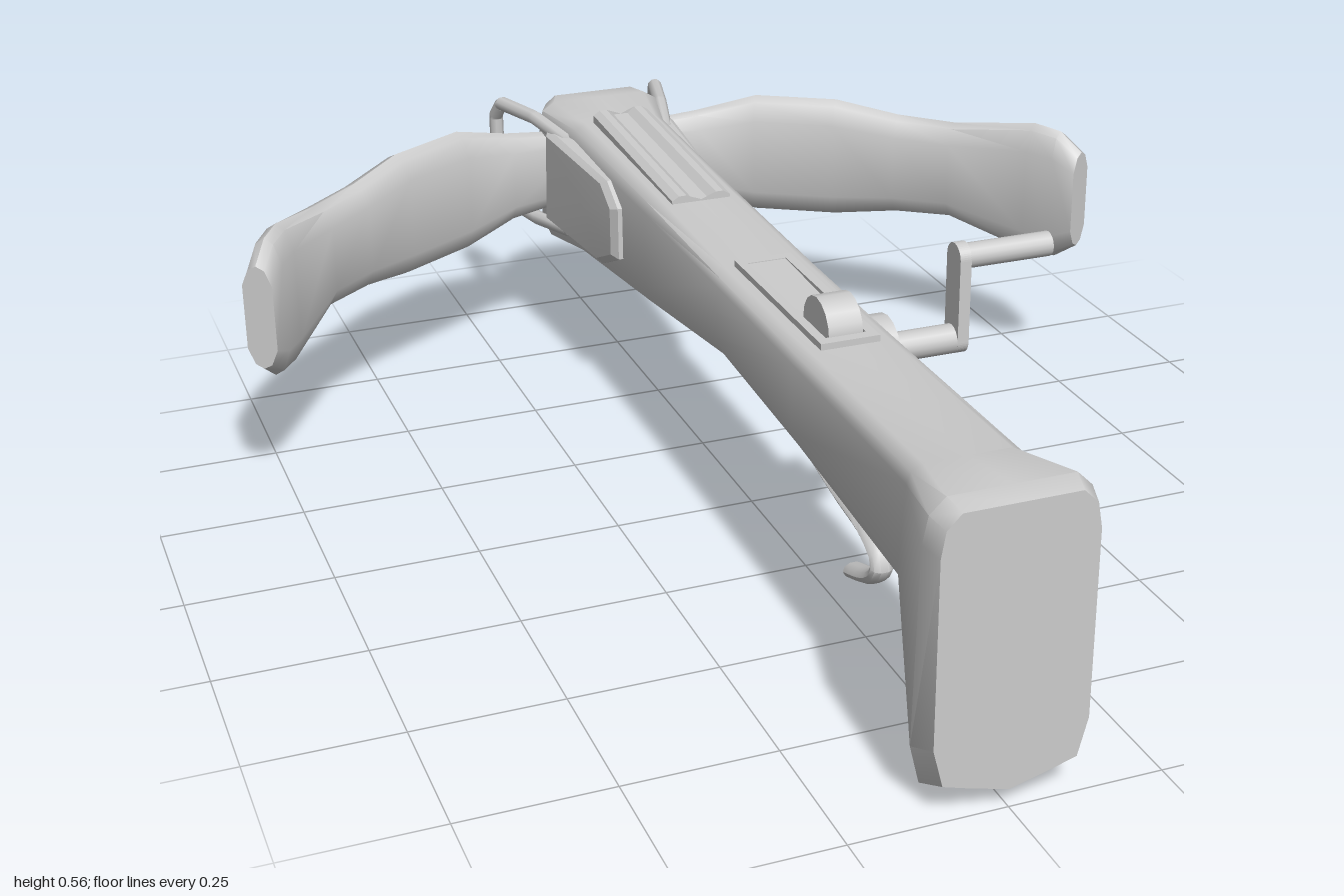
import * as THREE from 'three';
import { toCreasedNormals } from 'three/addons/utils/BufferGeometryUtils.js';

const V = (x, y, z) => new THREE.Vector3(x, y, z);

// Skin a row of equal-length rings, cap both ends and turn the faces outward.
function loft(rings, crease = 0.7) {
  const n = rings[0].length, tris = [];
  for (let i = 0; i < rings.length - 1; i++) {
    for (let j = 0; j < n; j++) {
      const k = (j + 1) % n;
      const a = rings[i][j], b = rings[i][k], c = rings[i + 1][k], d = rings[i + 1][j];
      tris.push([a, b, c], [a, c, d]);
    }
  }
  const centre = (r) => r.reduce((s, p) => s.add(p), V(0, 0, 0)).divideScalar(n);
  const first = rings[0], last = rings[rings.length - 1];
  const c0 = centre(first), c1 = centre(last);
  for (let j = 0; j < n; j++) {
    const k = (j + 1) % n;
    tris.push([c0, first[k], first[j]], [c1, last[j], last[k]]);
  }
  let volume = 0;
  for (const [a, b, c] of tris) volume += a.dot(b.clone().cross(c));
  if (volume < 0) tris.forEach((t) => t.reverse());
  const g = new THREE.BufferGeometry().setFromPoints(tris.flat());
  return toCreasedNormals(g, crease);
}

export function createModel() {
  const model = new THREE.Group();
  model.name = 'crossbow';
  const material = new THREE.MeshStandardMaterial({ color: 0xcccccc });
  const add = (name, geometry, parent = model) => {
    const mesh = new THREE.Mesh(geometry, material);
    mesh.name = name;
    parent.add(mesh);
    return mesh;
  };

  // Stock: half section (across, up), mirrored into a ring
  const half = [[0.5, 0.035], [0.87, 0.065], [1, 0.2], [1, 0.86], [0.94, 0.95], [0.75, 1]];
  const section = [[0, 0], ...half, [0, 1], ...half.map(([u, v]) => [-u, v]).reverse()];
  // top z, top y, bottom z, bottom y, half width
  const stations = [
    [1, 0.49, 1, 0.03, 0.122], [0.965, 0.5, 0.94, 0, 0.132], [0.83, 0.48, 0.8, 0.265, 0.093],
    [0.4, 0.477, 0.4, 0.3, 0.09], [0.07, 0.477, 0.07, 0.32, 0.09], [-0.3, 0.486, -0.3, 0.265, 0.09],
    [-0.7, 0.495, -0.7, 0.215, 0.095], [-0.83, 0.5, -0.83, 0.203, 0.125],
    [-0.87, 0.5, -0.87, 0.2, 0.105], [-0.905, 0.485, -0.9, 0.205, 0.05],
  ];
  add('stock', loft(stations.map(([zt, yt, zb, yb, w]) => section.map(([u, v]) =>
    V(u * w, yb + (yt - yb) * v, zb + (zt - zb) * v))), 0.8));

  // Bow limbs: x, z, half height, half thickness
  const limb = [
    [0.05, -0.835, 0.07, 0.03], [0.2, -0.81, 0.09, 0.03], [0.31, -0.767, 0.121, 0.034],
    [0.45, -0.682, 0.121, 0.034], [0.55, -0.602, 0.102, 0.034], [0.64, -0.525, 0.098, 0.036],
    [0.735, -0.375, 0.133, 0.03], [0.765, -0.325, 0.128, 0.029], [0.79, -0.285, 0.095, 0.027],
  ];
  const limbSection = [[1, 0.62], [0.55, 0.92], [0, 1], [-0.55, 0.92], [-1, 0.62],
    [-1, -0.62], [-0.55, -0.92], [0, -1], [0.55, -0.92], [1, -0.62]];
  for (const s of [1, -1]) {
    const side = s > 0 ? 'left' : 'right';
    const rings = limb.map(([x, z, h, t], i) => {
      const a = limb[Math.max(i - 1, 0)], b = limb[Math.min(i + 1, limb.length - 1)];
      const dx = b[0] - a[0], dz = b[1] - a[1], l = Math.hypot(dx, dz);
      return limbSection.map(([u, v]) =>
        V(s * (x + u * t * dz / l), 0.365 + v * h, z - u * t * dx / l));
    });
    add(side + 'Limb', loft(rings, 0.8));

    // Side plate: chamfered outline facing outward
    const outline = [[-0.42, 0.32], [-0.42, 0.42], [-0.48, 0.455], [-0.78, 0.465],
      [-0.8, 0.27], [-0.52, 0.275]];
    const plate = [[0.07, 1], [0.1, 1], [0.11, 0.9]].map(([x, k]) =>
      outline.map(([z, y]) => V(s * (x + (z < -0.7 ? 0.022 : 0)), 0.37 + (y - 0.37) * k, -0.6 + (z + 0.6) * k)));
    add(side + 'Plate', loft(plate, 0.4));

    // Stirrup: closed chamfered loop that splays outward toward the nose
    const loop = [[-0.72, 0.27], [-0.72, 0.455], [-0.84, 0.47], [-0.965, 0.465],
      [-0.988, 0.435], [-0.988, 0.295], [-0.965, 0.263], [-0.84, 0.258]];
    const path = new THREE.CurvePath();
    loop.forEach((p, i) => {
      const q = loop[(i + 1) % loop.length];
      const at = ([z, y]) => V(s * (0.1 + (-0.72 - z) * 0.26), y, z);
      path.add(new THREE.LineCurve3(at(p), at(q)));
    });
    add(side + 'Stirrup', new THREE.TubeGeometry(path, 96, 0.014, 8, true));
  }

  // Bolt rail: grooved channel on the top
  const rail = [[-0.055, -0.02], [-0.055, 0.006], [-0.042, 0.014], [-0.028, 0.014], [-0.014, 0.003],
    [0.014, 0.003], [0.028, 0.014], [0.042, 0.014], [0.055, 0.006], [0.055, -0.02]];
  add('boltRail', loft([[-0.245, 0.484], [-0.695, 0.504]].map(([z, y]) =>
    rail.map(([x, v]) => V(x, y + v, z))), 0.5));

  // Lock plate: frame with a sloping floor and a round nut
  const frame = new THREE.Shape([[-0.05, -0.42], [0.05, -0.42], [0.05, -0.05], [-0.05, -0.05]]
    .map(([x, y]) => new THREE.Vector2(x, y)));
  frame.holes.push(new THREE.Path([[-0.034, -0.4], [-0.034, -0.07], [0.034, -0.07], [0.034, -0.4]]
    .map(([x, y]) => new THREE.Vector2(x, y))));
  const frameMesh = add('lockFrame', new THREE.ExtrudeGeometry(frame, { depth: 0.02, bevelEnabled: false }));
  frameMesh.rotation.x = -Math.PI / 2;
  frameMesh.position.y = 0.468;
  add('lockFloor', loft([[0.06, 0.487], [0.3, 0.478], [0.41, 0.478]].map(([z, y]) =>
    [V(-0.036, 0.46, z), V(-0.036, y, z), V(0.036, y, z), V(0.036, 0.46, z)]), 0.2));
  const nut = add('nut', new THREE.CylinderGeometry(0.052, 0.052, 0.058, 16));
  nut.rotation.z = Math.PI / 2;
  nut.position.set(0, 0.484, 0.35);

  // Crank on the left side
  const crank = new THREE.Group();
  crank.name = 'crank';
  crank.position.set(0, 0.395, 0.283);
  model.add(crank);
  const rod = (name, x0, x1, r, y) => {
    const m = add(name, new THREE.CylinderGeometry(r, r, x1 - x0, 16), crank);
    m.rotation.z = Math.PI / 2;
    m.position.set((x0 + x1) / 2, y, 0);
  };
  rod('crankHub', 0.07, 0.125, 0.06, 0);
  rod('crankShaft', 0.12, 0.25, 0.025, 0);
  rod('crankHandle', 0.25, 0.412, 0.021, 0.143);
  const arm = new THREE.Shape();
  arm.absarc(0, 0.143, 0.025, 0, Math.PI);
  arm.absarc(0, 0, 0.025, Math.PI, Math.PI * 2);
  const armMesh = add('crankArm', new THREE.ExtrudeGeometry(arm, { depth: 0.02, bevelEnabled: false }), crank);
  armMesh.rotation.y = Math.PI / 2;
  armMesh.position.x = 0.241;

  // Trigger lever: flattened bar ending in a hook
  const lever = new THREE.CatmullRomCurve3([[0.06, 0.33], [0.12, 0.3], [0.25, 0.25], [0.4, 0.215],
    [0.51, 0.195], [0.555, 0.165], [0.545, 0.14], [0.51, 0.118], [0.45, 0.097]]
    .map(([z, y]) => V(0, y, z)));
  const leverRings = lever.getSpacedPoints(32).map((p, i) => {
    const t = lever.getTangentAt(i / 32);
    return Array.from({ length: 10 }, (_, j) => {
      const a = j / 10 * Math.PI * 2, c = Math.sin(a) * 0.013;
      return V(Math.cos(a) * 0.02, p.y + c * t.z, p.z - c * t.y);
    });
  });
  add('triggerLever', loft(leverRings, 0.9));

  return model;
}
